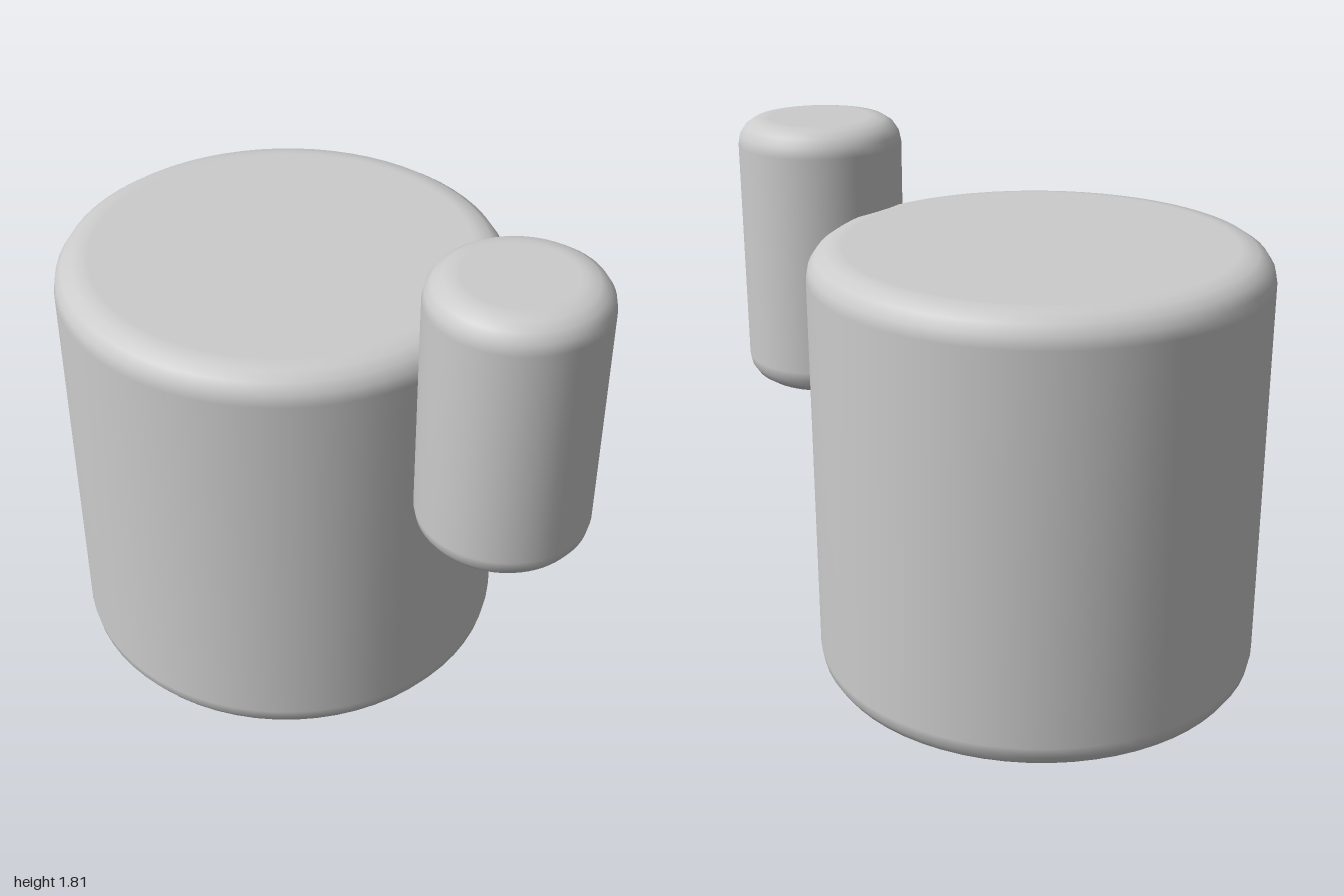
import * as THREE from 'three';

const material = new THREE.MeshStandardMaterial({ color: 0xcccccc });

// Upright cylinder with rounded rims, standing on its own y = 0
function roundedCylinder(name, radius, height, bevel, steps = 4) {
  const inner = radius - bevel;
  const points = [new THREE.Vector2(0, 0), new THREE.Vector2(inner - 0.02, 0)];
  // bottom rim, then top rim, each a quarter arc
  for (const [cy, start] of [[bevel, -Math.PI / 2], [height - bevel, 0]]) {
    for (let i = 0; i <= steps; i++) {
      const a = start + (i / steps) * Math.PI / 2;
      points.push(new THREE.Vector2(inner + bevel * Math.cos(a), cy + bevel * Math.sin(a)));
    }
  }
  points.push(new THREE.Vector2(inner - 0.02, height), new THREE.Vector2(0, height));
  const mesh = new THREE.Mesh(new THREE.LatheGeometry(points, 64), material);
  mesh.name = name;
  return mesh;
}

export function createModel() {
  const group = new THREE.Group();

  // Large drum resting on the ground
  const drum = roundedCylinder('mainDrum', 0.76, 1.52, 0.1);
  drum.position.x = -0.24;

  // Small cylinder sunk into the drum's left side
  const side = roundedCylinder('sideCylinder', 0.285, 0.95, 0.09);
  side.position.set(0.715, 0.86, 0);

  group.add(drum, side);
  return group;
}
